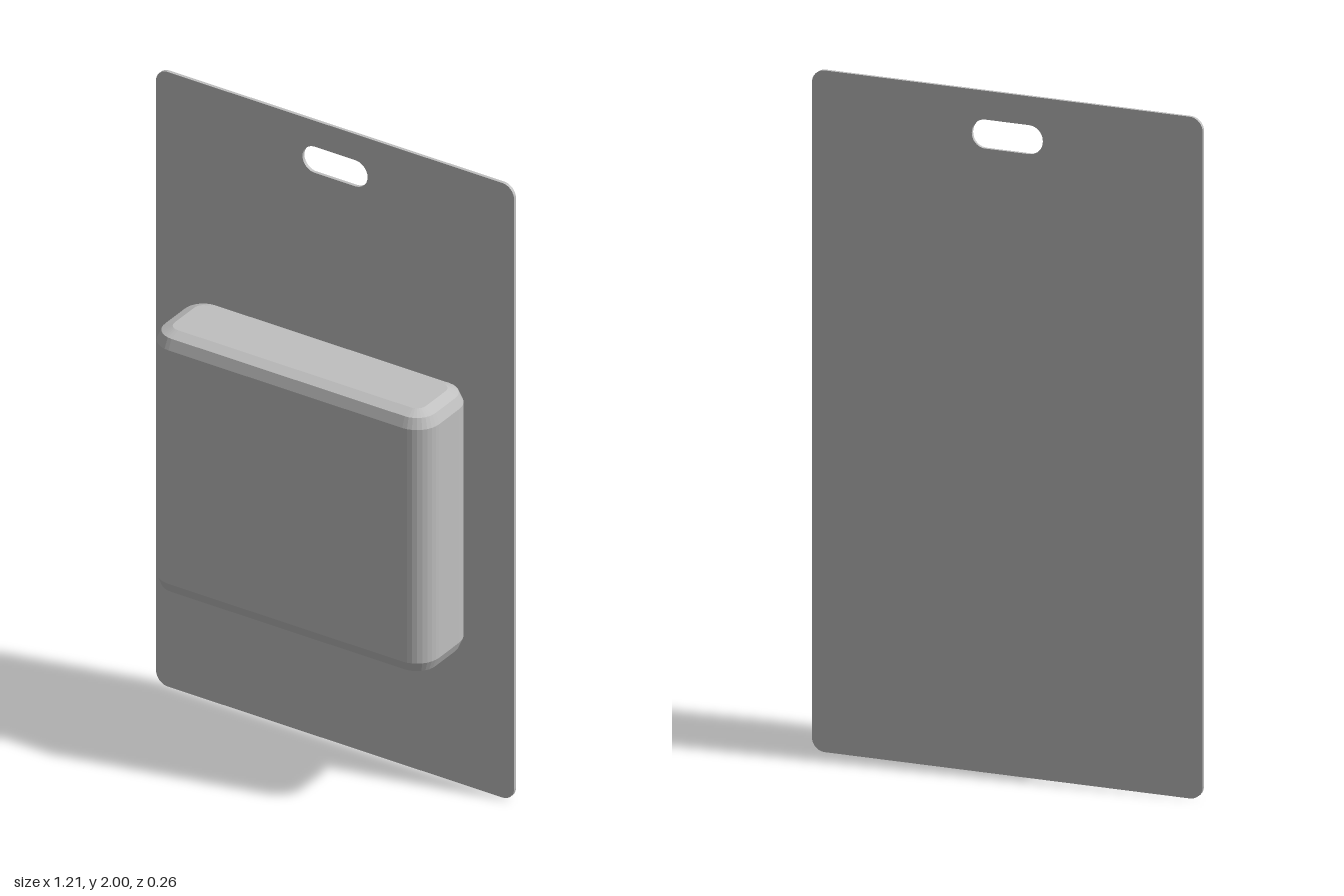
import * as THREE from 'three';

// Rounded rectangle centred on (cx, cy); works for both outlines and holes
function roundedRect(path, w, h, r, cx = 0, cy = 0) {
  const x = w / 2 - r, y = h / 2 - r;
  path.absarc(cx + x, cy + y, r, 0, Math.PI / 2);
  path.absarc(cx - x, cy + y, r, Math.PI / 2, Math.PI);
  path.absarc(cx - x, cy - y, r, Math.PI, Math.PI * 1.5);
  path.absarc(cx + x, cy - y, r, Math.PI * 1.5, Math.PI * 2);
  path.closePath();
  return path;
}

export function createModel() {
  const group = new THREE.Group();
  const grey = new THREE.MeshStandardMaterial({ color: 0xc0c0c0 });
  grey.name = 'light grey';

  // Thin backing card with a hanging slot
  const cardShape = roundedRect(new THREE.Shape(), 1.21, 2, 0.04, 0, 1);
  cardShape.holes.push(roundedRect(new THREE.Path(), 0.22, 0.085, 0.042, 0, 1.873));
  const cardGeometry = new THREE.ExtrudeGeometry(cardShape, {
    depth: 0.01, bevelEnabled: false, curveSegments: 8,
  });
  const card = new THREE.Mesh(cardGeometry, grey);
  card.name = 'backingCard';
  card.position.z = -0.132;
  group.add(card);

  // Blister box: rounded plan extruded upwards, with softened top and bottom rims
  const bevel = 0.045, bottom = 0.465, top = 1.315;
  const plan = roundedRect(new THREE.Shape(), 0.94, 0.252, 0.075);
  const boxGeometry = new THREE.ExtrudeGeometry(plan, {
    depth: top - bottom - 2 * bevel,
    bevelSize: bevel, bevelThickness: bevel, bevelOffset: -bevel,
    bevelSegments: 2, curveSegments: 4,
  });
  boxGeometry.rotateX(-Math.PI / 2);
  const box = new THREE.Mesh(boxGeometry, grey);
  box.name = 'blisterBox';
  box.position.set(0, bottom + bevel, 0.005);
  group.add(box);

  return group;
}
